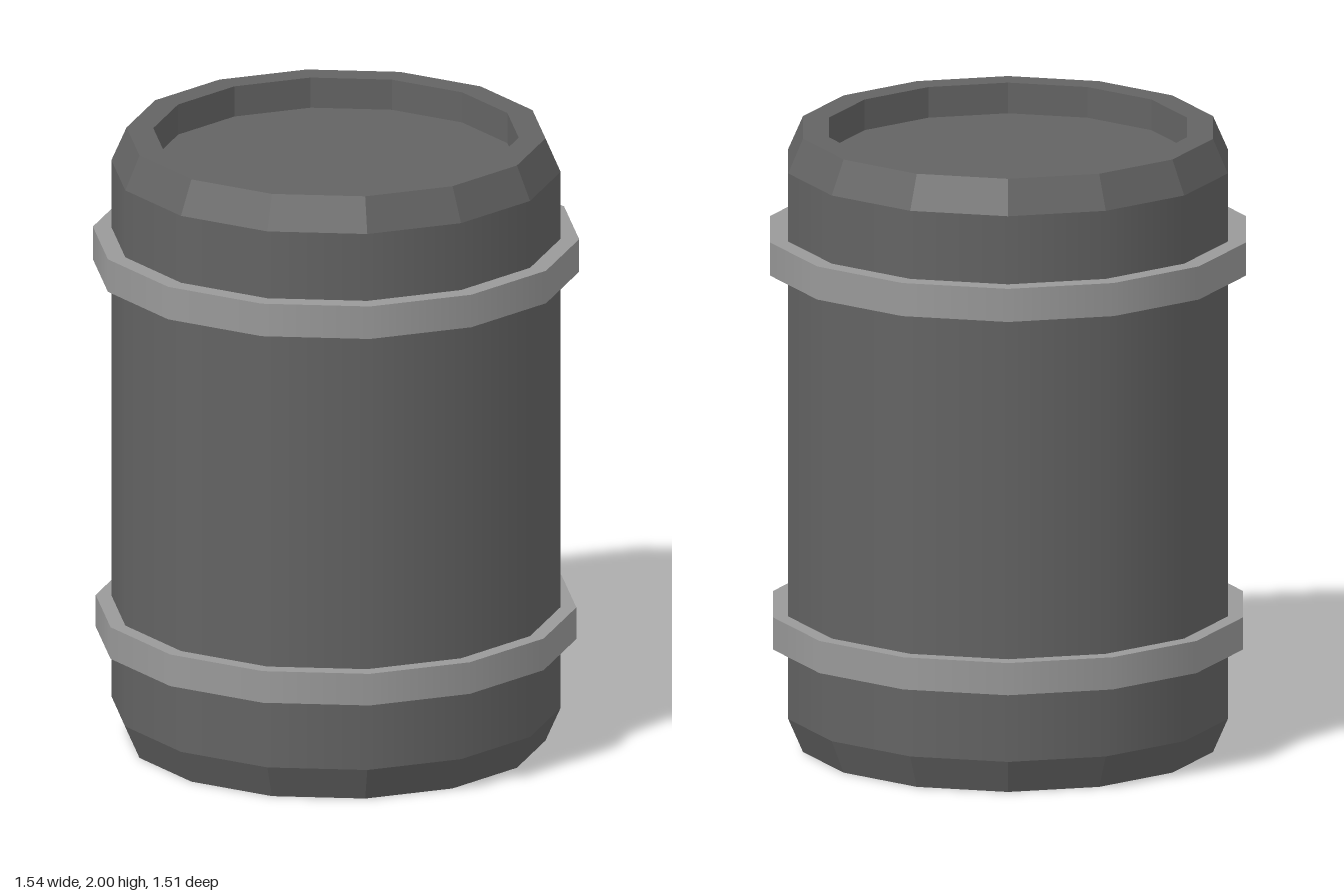
import * as THREE from 'three';
import { mergeGeometries } from 'three/addons/utils/BufferGeometryUtils.js';

const SIDES = 14;

// Turns each profile segment separately, so edges between segments stay sharp.
function turned(name, profile, color, flatShading = false) {
  const bands = [];
  for (let i = 0; i < profile.length - 1; i++) {
    const pts = [profile[i], profile[i + 1]].map(([r, y]) => new THREE.Vector2(r, y));
    const band = new THREE.LatheGeometry(pts, SIDES, Math.PI / 2);
    bands.push(band);
  }
  const mesh = new THREE.Mesh(
    mergeGeometries(bands),
    new THREE.MeshStandardMaterial({ color, flatShading })
  );
  mesh.name = name;
  return mesh;
}

export function createModel() {
  const barrel = new THREE.Group();
  barrel.name = 'barrel';
  const DARK = 0x636363, LIGHT = 0x999999;
  const R = 0.713, RIM = 0.665, INNER = 0.58;

  // Smooth side wall
  barrel.add(turned('wall', [[R, 0.11], [R, 1.89]], DARK));

  // Faceted ends: recessed disc, rim and chamfer
  barrel.add(turned('bottomEnd',
    [[0, 0.1], [INNER, 0.1], [INNER, 0], [RIM, 0], [R, 0.11]], DARK, true));
  barrel.add(turned('topEnd',
    [[R, 1.89], [RIM, 2], [INNER, 2], [INNER, 1.9], [0, 1.9]], DARK, true));

  // Raised hoops around the wall
  const hoop = (name, y0, y1, r) =>
    turned(name, [[R - 0.01, y0], [r, y0], [r, y1], [R - 0.01, y1]], LIGHT);
  barrel.add(hoop('lowerHoop', 0.34, 0.445, 0.763));
  barrel.add(hoop('upperHoop', 1.56, 1.668, 0.772));

  return barrel;
}
